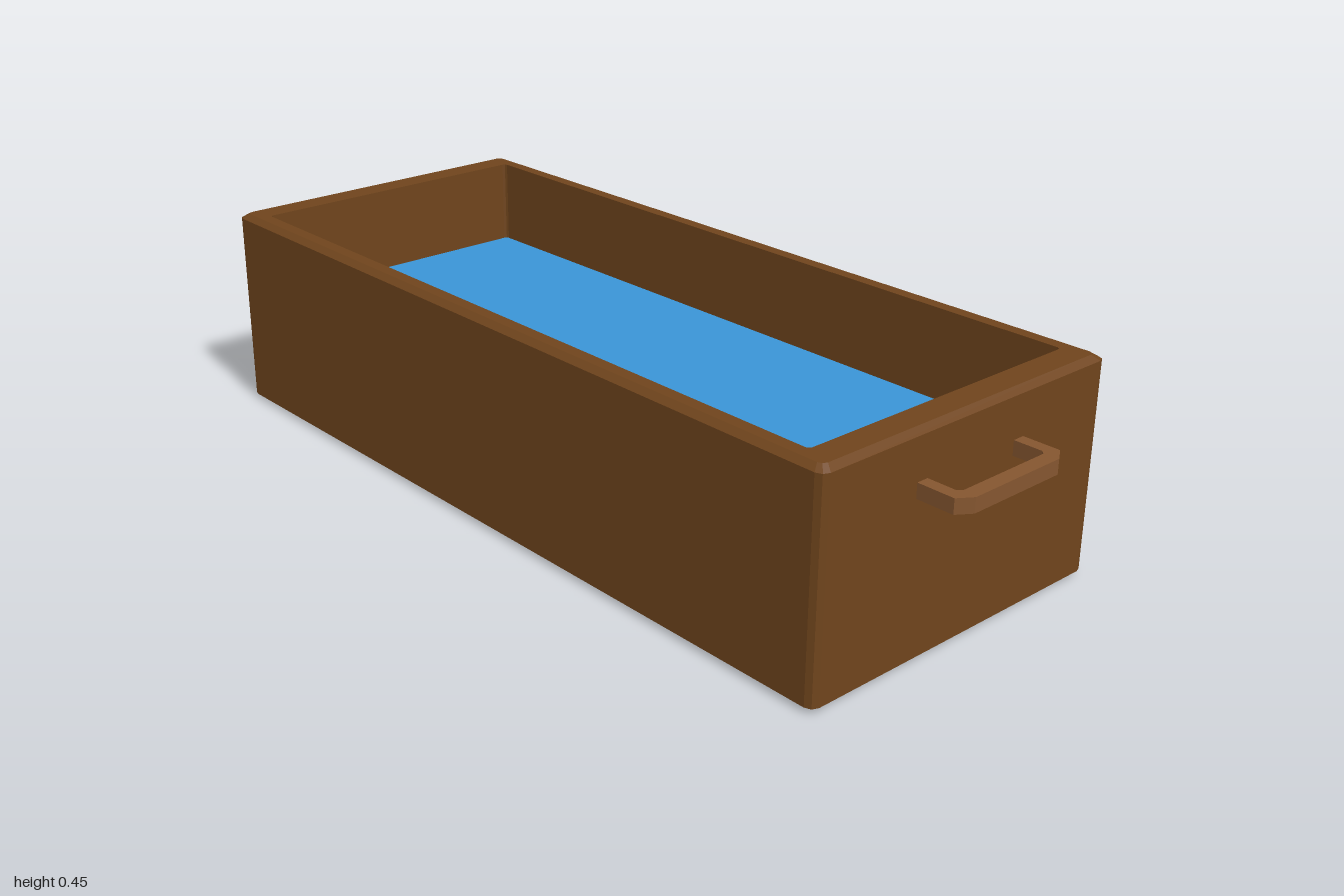
import * as THREE from 'three';

const wood = new THREE.MeshStandardMaterial({ color: 0x6f441c, flatShading: true });
const handleWood = new THREE.MeshStandardMaterial({ color: 0x855630, flatShading: true });
const blue = new THREE.MeshStandardMaterial({ color: 0x3a94d6 });

const HX = 0.375, HZ = 0.902, HEIGHT = 0.45;     // outer half sizes and height
const INX = 0.333, INZ = 0.832, LEVEL = 0.26;    // cavity half sizes and fill level

// Rounded rectangle at height y, counterclockwise from above
function ring(hx, hz, r, y) {
  const points = [];
  for (let corner = 0; corner < 4; corner++) {
    const sx = corner === 0 || corner === 3 ? 1 : -1;
    const sz = corner < 2 ? -1 : 1;
    for (let k = 0; k <= 2; k++) {
      const a = (corner + k / 2) * Math.PI / 2;
      points.push([sx * (hx - r) + r * Math.cos(a), y, sz * (hz - r) - r * Math.sin(a)]);
    }
  }
  return points;
}

// Skin a stack of rings and close both ends
function loft(rings) {
  const pos = [];
  const tri = (a, b, c) => pos.push(...a, ...b, ...c);
  const n = rings[0].length;
  for (let j = 0; j < rings.length - 1; j++) {
    const lo = rings[j], up = rings[j + 1];
    for (let i = 0; i < n; i++) {
      const k = (i + 1) % n;
      tri(lo[i], lo[k], up[k]);
      tri(lo[i], up[k], up[i]);
    }
  }
  const first = rings[0], last = rings[rings.length - 1];
  for (let i = 1; i < n - 1; i++) {
    tri(first[0], first[i + 1], first[i]);
    tri(last[0], last[i], last[i + 1]);
  }
  const geometry = new THREE.BufferGeometry();
  geometry.setAttribute('position', new THREE.Float32BufferAttribute(pos, 3));
  geometry.computeVertexNormals();
  return geometry;
}

// Bracket outline in x/z, extruded upward
function handleGeometry() {
  const outline = [
    [-0.142, 0.89], [-0.116, 0.89], [-0.116, 0.962], [-0.108, 0.97],
    [0.108, 0.97], [0.116, 0.962], [0.116, 0.89], [0.142, 0.89],
    [0.142, 0.98], [0.112, 1], [-0.112, 1], [-0.142, 0.98],
  ];
  const shape = new THREE.Shape(outline.map(([x, z]) => new THREE.Vector2(x, z)));
  const geometry = new THREE.ExtrudeGeometry(shape, { depth: 0.03, bevelEnabled: false });
  return geometry.rotateX(Math.PI / 2).translate(0, 0.355, 0);
}

export function createModel() {
  const group = new THREE.Group();
  const add = (name, geometry, material) => {
    const mesh = new THREE.Mesh(geometry, material);
    mesh.name = name;
    group.add(mesh);
    return mesh;
  };

  // Open box with bevelled edges, flat rim and cavity
  add('box', loft([
    ring(HX - 0.015, HZ - 0.015, 0.012, 0),
    ring(HX, HZ, 0.018, 0.01),
    ring(HX, HZ, 0.018, HEIGHT - 0.01),
    ring(HX - 0.015, HZ - 0.015, 0.012, HEIGHT),
    ring(INX, INZ, 0.008, HEIGHT),
    ring(INX, INZ, 0.008, 0.05),
  ]), wood);

  // Blue fill surface
  const fill = new THREE.PlaneGeometry(INX * 2, INZ * 2).rotateX(-Math.PI / 2);
  add('fillSurface', fill, blue).position.y = LEVEL;

  // Handles on both ends
  add('frontHandle', handleGeometry(), handleWood);
  add('backHandle', handleGeometry(), handleWood).rotation.y = Math.PI;

  return group;
}
